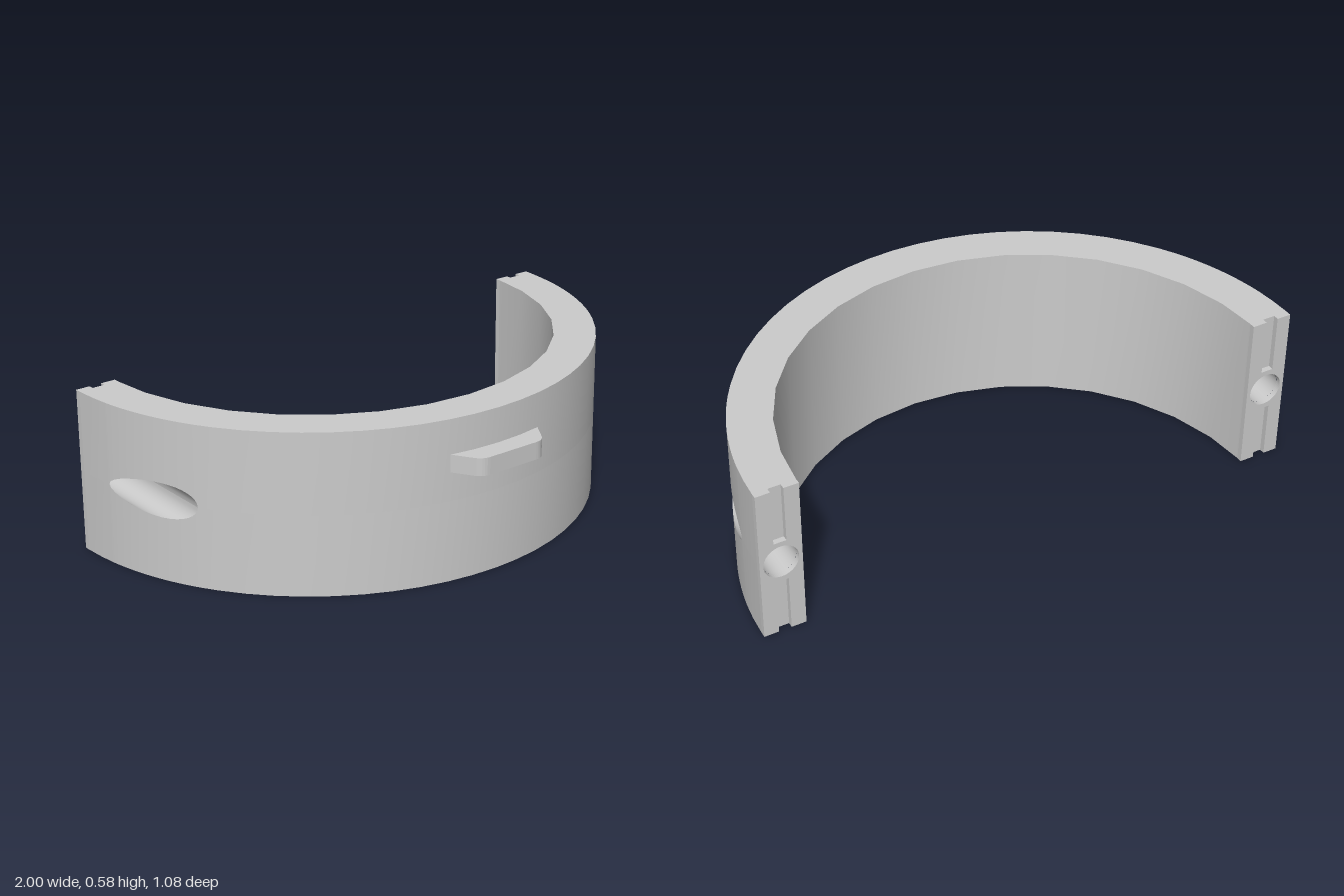
import * as THREE from 'three';

const H = 0.583, R = 1, RI = 0.85;             // height, outer and inner radius
const ZC = -0.54, ZS = -0.52;                  // end plane and groove floor
const HX = 0.925, HY = H / 2, HR = 0.062;      // bolt hole
const GX = 0.903, GW = 0.045, GAP = 0.08;      // groove start, width, gap from the hole

const material = new THREE.MeshStandardMaterial({ color: 0xcccccc });

function add(parent, name, geometry) {
  const mesh = new THREE.Mesh(geometry, material);
  mesh.name = name;
  parent.add(mesh);
}

// Grid surface: place(column, row) returns [x, y, z]; row 0 is the top row
function sheet(columns, place) {
  const geometry = new THREE.PlaneGeometry(1, 1, columns - 1, 1);
  const position = geometry.attributes.position;
  for (let k = 0; k < position.count; k++) {
    position.setXYZ(k, ...place(k % columns, Math.floor(k / columns)));
  }
  geometry.computeVertexNormals();
  return geometry;
}

const outerZ = x => ZC + Math.sqrt(Math.max(0, R * R - x * x));
const holeHalf = x => Math.sqrt(Math.max(0, HR * HR - (Math.abs(x) - HX) ** 2));

// Arc columns, with extra ones across the hole openings
function outerColumns() {
  const xs = [];
  for (let i = 0; i <= 32; i++) {
    const x = -R * Math.cos(Math.PI * i / 32);
    if (Math.abs(Math.abs(x) - HX) > HR + 0.002) xs.push(x);
  }
  for (const side of [-1, 1]) {
    for (let i = 0; i <= 16; i++) xs.push(side * (HX + HR * Math.cos(Math.PI * i / 16)));
  }
  return xs.sort((a, b) => a - b).map(x => [x, Math.max(ZS, outerZ(x))]);
}

function innerColumns() {
  const points = [];
  for (let i = 0; i <= 16; i++) {
    const a = Math.PI * i / 16;
    points.push([RI * Math.cos(a), Math.max(ZS, ZC + RI * Math.sin(a))]);
  }
  return points;
}

// End slab with a round hole and a groove running in from the top and the bottom
function endPlate() {
  const shape = new THREE.Shape([
    [RI, 0], [GX, 0], [GX, HY - GAP], [GX + GW, HY - GAP], [GX + GW, 0], [R, 0],
    [R, H], [GX + GW, H], [GX + GW, HY + GAP], [GX, HY + GAP], [GX, H], [RI, H],
  ].map(p => new THREE.Vector2(...p)));
  const hole = new THREE.Path();
  hole.absarc(HX, HY, HR, 0, Math.PI * 2, true);
  shape.holes.push(hole);
  const geometry = new THREE.ExtrudeGeometry(shape, { depth: ZS - ZC, bevelEnabled: false, curveSegments: 32 });
  return geometry.translate(0, 0, ZC);
}

export function createModel() {
  const group = new THREE.Group();
  group.name = 'halfRingClamp';
  const outer = outerColumns(), inner = innerColumns();

  // Curved walls; the outer one is split at mid height around the holes
  add(group, 'outerWallUpper', sheet(outer.length, (i, j) => {
    const [x, z] = outer[i];
    return [x, j === 0 ? H : HY + holeHalf(x), z];
  }));
  add(group, 'outerWallLower', sheet(outer.length, (i, j) => {
    const [x, z] = outer[i];
    return [x, j === 0 ? HY - holeHalf(x) : 0, z];
  }));
  add(group, 'innerWall', sheet(inner.length, (i, j) => [inner[i][0], j === 0 ? H : 0, inner[i][1]]));

  // Flat top and bottom
  const ring = sign => new THREE.ShapeGeometry(new THREE.Shape(
    [...outer, ...inner].map(([x, z]) => new THREE.Vector2(x, sign * z))));
  add(group, 'topFace', ring(-1).rotateX(-Math.PI / 2).translate(0, H, 0));
  add(group, 'bottomFace', ring(1).rotateX(Math.PI / 2));

  // Ends: grooved plate, groove floors and the bore that breaks out through the outer wall
  for (const side of [-1, 1]) {
    const end = new THREE.Group();
    end.name = side > 0 ? 'leftEnd' : 'rightEnd';
    const plate = endPlate();
    // the right plate is the left one turned half way round its own middle plane
    if (side < 0) plate.translate(0, -HY, -(ZC + ZS) / 2).rotateY(Math.PI).translate(0, HY, (ZC + ZS) / 2);
    add(end, 'endPlate', plate);
    for (const y of [(HY - GAP) / 2, H - (HY - GAP) / 2]) {
      add(end, 'grooveFloor', new THREE.PlaneGeometry(GW, HY - GAP).rotateY(Math.PI)
        .translate(side * (GX + GW / 2), y, ZS));
    }
    add(end, 'bore', sheet(33, (i, j) => {
      const a = Math.PI * 2 * i / 32;
      const x = side * HX + HR * Math.cos(a);
      return [x, HY + HR * Math.sin(a), j === 0 ? ZS : outerZ(x)];
    }));
    group.add(end);
  }

  // Rounded tab on the front
  const tab = new THREE.Shape();
  tab.moveTo(-0.19, -0.4);
  tab.lineTo(-0.19, -0.44);
  tab.lineTo(-0.148, -0.508);
  tab.quadraticCurveTo(-0.132, -0.537, -0.1, -0.537);
  tab.lineTo(0.1, -0.537);
  tab.quadraticCurveTo(0.132, -0.537, 0.148, -0.508);
  tab.lineTo(0.19, -0.44);
  tab.lineTo(0.19, -0.4);
  add(group, 'frontTab', new THREE.ExtrudeGeometry(tab, { depth: 0.063, bevelEnabled: false, curveSegments: 6 })
    .rotateX(-Math.PI / 2).translate(0, 0.395, 0));

  return group;
}
